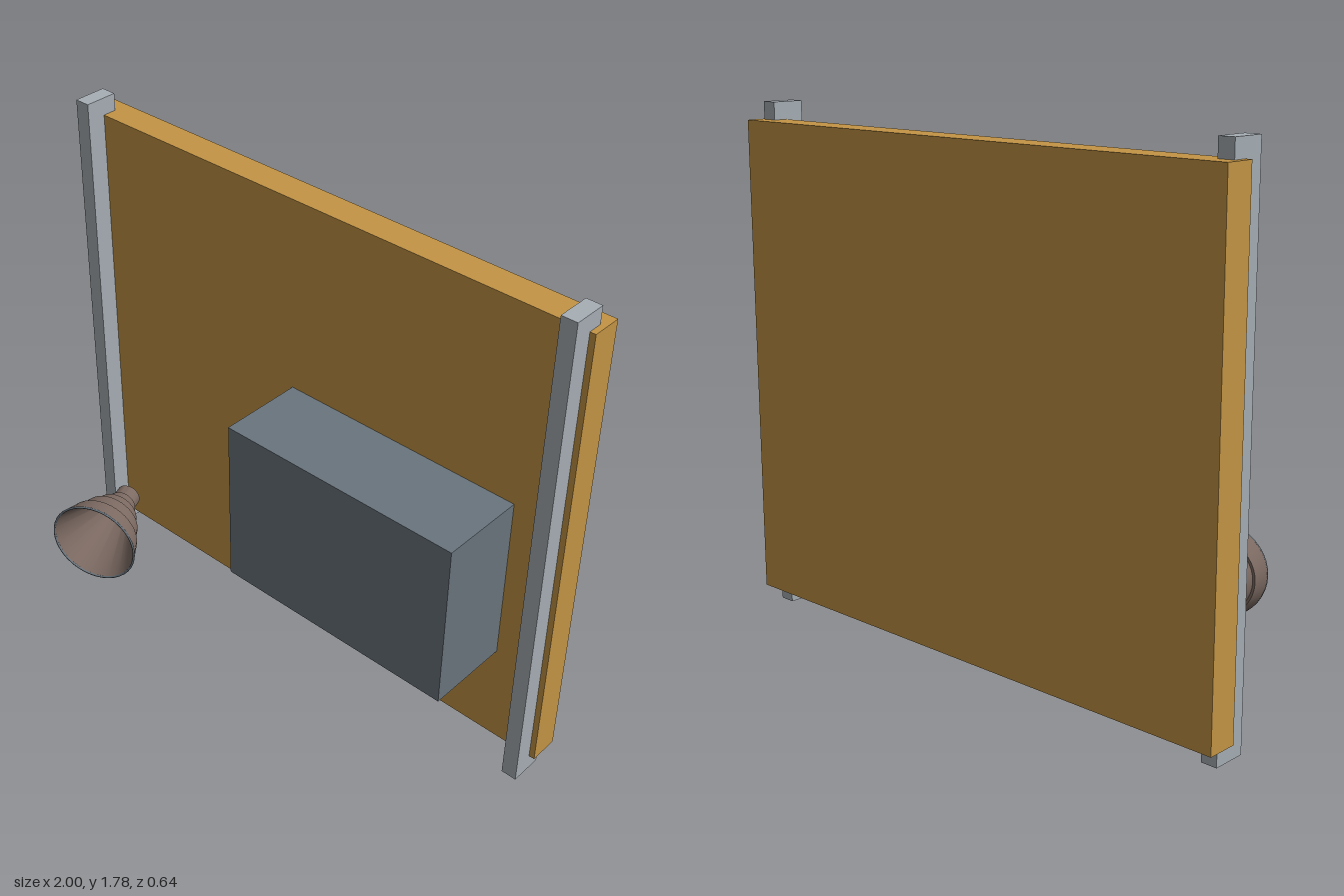
import * as THREE from 'three';
import { toCreasedNormals } from 'three/addons/utils/BufferGeometryUtils.js';

function material(name, color) {
  const m = new THREE.MeshStandardMaterial({ color });
  m.name = name;
  return m;
}

export function createModel() {
  const group = new THREE.Group();
  const ochre = material('ochre', 0xc49545);
  const paleSteel = material('pale steel', 0xa7afb5);
  const slate = material('slate', 0x6a757e);
  const brown = material('horn brown', 0x7c6a62);

  // Box given by its lower and upper corners
  function box(name, mat, [x0, y0, z0], [x1, y1, z1]) {
    const mesh = new THREE.Mesh(new THREE.BoxGeometry(x1 - x0, y1 - y0, z1 - z0), mat);
    mesh.position.set((x0 + x1) / 2, (y0 + y1) / 2, (z0 + z1) / 2);
    mesh.name = name;
    group.add(mesh);
  }

  // Wall panel and the cabinet mounted on it
  box('panel', ochre, [-1, 0.06, -0.32], [1, 1.72, -0.215]);
  box('cabinet', slate, [-0.08, 0.425, -0.217], [0.81, 1.032, 0.088]);

  // Upright posts at both ends
  box('rightPost', paleSteel, [-0.98, 0, -0.265], [-0.925, 1.78, -0.148]);
  box('leftPost', paleSteel, [0.925, 0, -0.265], [0.98, 1.78, -0.148]);

  // Horn, turned slightly towards the middle
  const horn = new THREE.Group();
  horn.name = 'horn';
  horn.position.set(-0.692, 0.362, -0.01);
  horn.rotation.y = 0.375;
  group.add(horn);

  // Profile as [radius, distance]: stepped outside, smooth cone inside, closed throat
  const profile = [
    [0, 0], [0.044, 0], [0.044, 0.05],
    [0.05, 0.05], [0.07, 0.1],
    [0.078, 0.1], [0.098, 0.15],
    [0.106, 0.15], [0.126, 0.215],
    [0.134, 0.215], [0.157, 0.285],
    [0.151, 0.285], [0.041, 0.052], [0, 0.052],
  ].map(([r, t]) => new THREE.Vector2(r, t));
  const bellGeometry = toCreasedNormals(new THREE.LatheGeometry(profile, 40).toNonIndexed(), 0.4);
  bellGeometry.rotateX(Math.PI / 2);
  const bell = new THREE.Mesh(bellGeometry, brown);
  bell.name = 'hornBell';
  horn.add(bell);

  // Thin rim around the mouth
  const rim = new THREE.Mesh(new THREE.TorusGeometry(0.154, 0.004, 8, 40), slate);
  rim.position.z = 0.285;
  rim.name = 'hornRim';
  horn.add(rim);

  return group;
}
